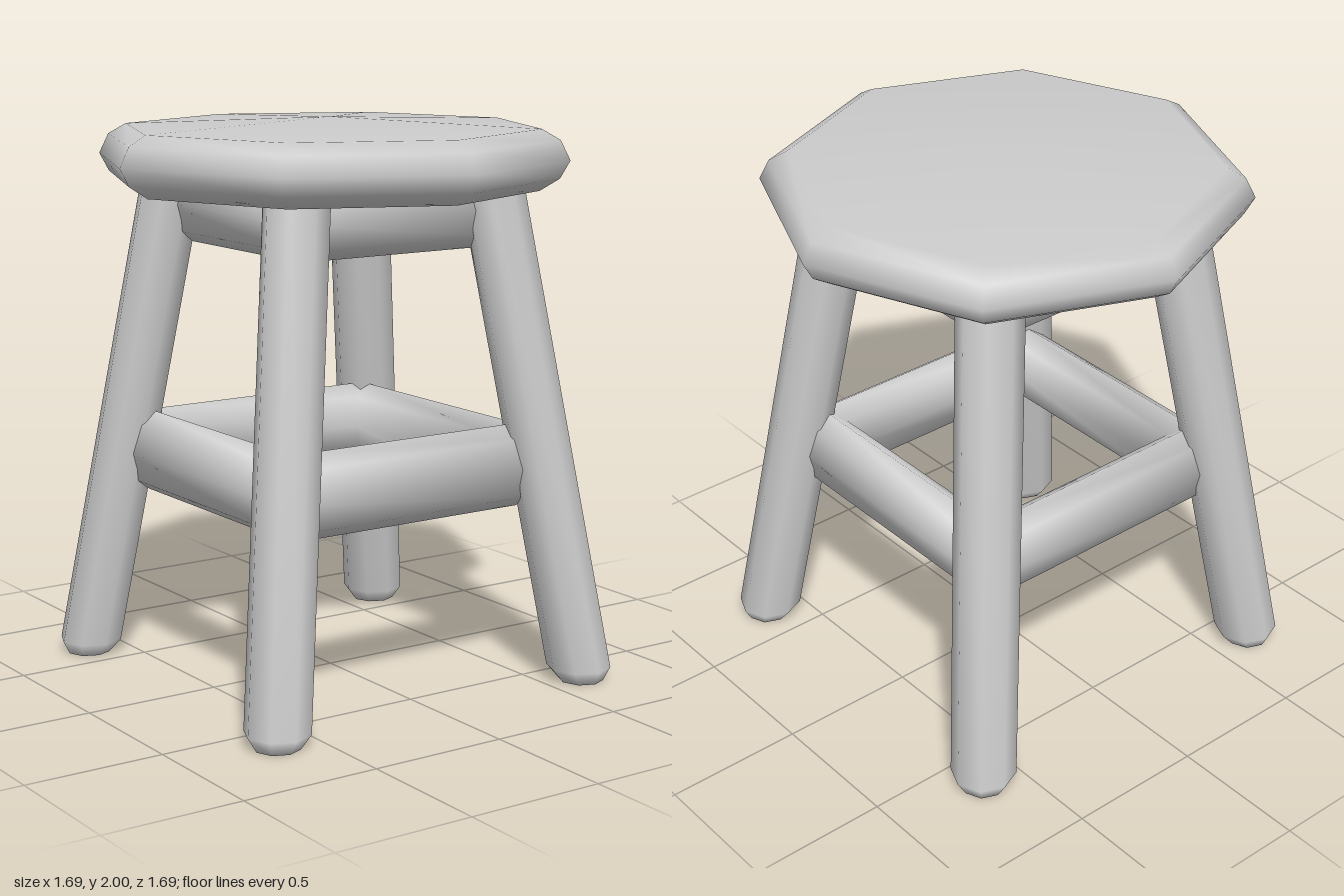
import * as THREE from 'three';
import { mergeVertices } from 'three/addons/utils/BufferGeometryUtils.js';

const material = new THREE.MeshStandardMaterial({ color: 0xcccccc });

// Few-sided turned solid with normals shared across its edges
function turned(points, sides, start = 0) {
  const lathe = new THREE.LatheGeometry(points.map(([r, y]) => new THREE.Vector2(r, y)), sides, start);
  lathe.deleteAttribute('uv');
  lathe.deleteAttribute('normal');
  const geometry = mergeVertices(lathe, 1e-4);
  geometry.computeVertexNormals();
  return geometry;
}

function part(name, geometry) {
  const mesh = new THREE.Mesh(geometry, material);
  mesh.name = name;
  return mesh;
}

// Square ring of four rungs mitred inside the legs; distance is from the axis to a rung's centre line
function rungRing(name, distance, y, halfWidth, halfHeight) {
  const profile = [];
  for (let i = 0; i <= 8; i++) {
    const a = i * Math.PI / 4;
    profile.push([
      (distance + halfWidth * Math.cos(a)) * Math.SQRT2,
      y + halfHeight * Math.sin(a),
    ]);
  }
  return part(name, turned(profile, 4, Math.PI / 4));
}

// Eight-sided leg sheared so that it splays outwards while its foot stays level
function leg(name, sx, sz) {
  const geometry = turned([[0, 0], [0.08, 0], [0.115, 0.05], [0.115, 1.84], [0, 1.84]], 8);
  const p = geometry.attributes.position;
  for (let i = 0; i < p.count; i++) {
    const out = 0.65 - 0.138 * p.getY(i);
    p.setX(i, p.getX(i) + sx * out);
    p.setZ(i, p.getZ(i) + sz * out);
  }
  geometry.computeVertexNormals();
  return part(name, geometry);
}

export function createModel() {
  const stool = new THREE.Group();
  stool.name = 'stool';

  // Octagonal seat with a rounded rim and slightly domed top
  stool.add(part('seat', turned([
    [0, 1.742], [0.74, 1.753], [0.81, 1.797], [0.845, 1.86],
    [0.81, 1.93], [0.745, 1.967], [0, 2],
  ], 8)));

  // Base, very slightly off the seat's centre
  const base = new THREE.Group();
  base.name = 'base';
  base.position.set(-0.007, 0, 0.007);
  for (const [sx, side] of [[1, 'Left'], [-1, 'Right']]) {
    base.add(leg('front' + side + 'Leg', sx, 1), leg('back' + side + 'Leg', sx, -1));
  }
  base.add(rungRing('lowerRungs', 0.475, 0.78, 0.09, 0.15));
  base.add(rungRing('upperRungs', 0.355, 1.69, 0.085, 0.14));
  stool.add(base);
  return stool;
}
